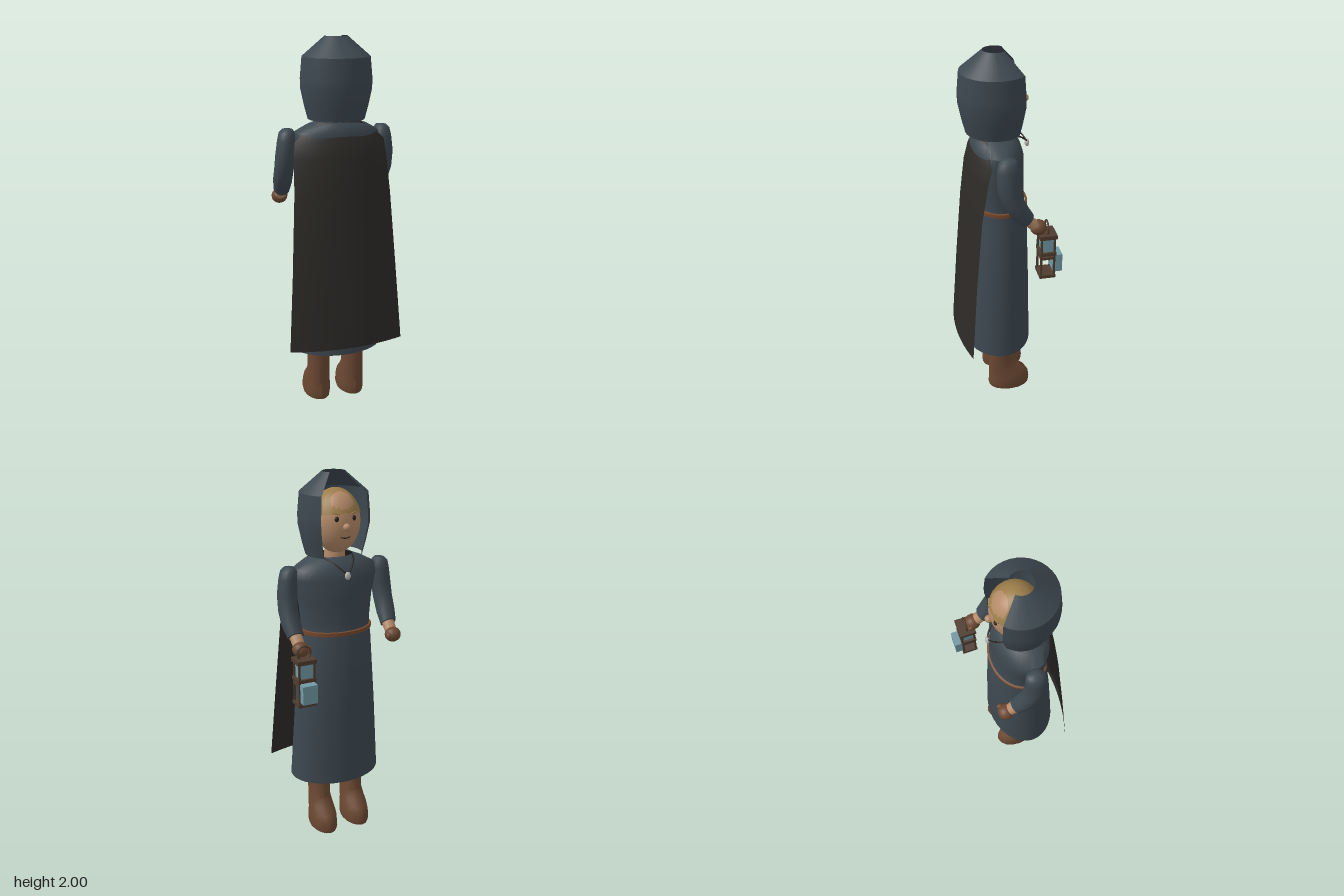
import * as THREE from 'three';
import { toCreasedNormals } from 'three/addons/utils/BufferGeometryUtils.js';

const mat = (color) => new THREE.MeshStandardMaterial({ color, side: THREE.DoubleSide });
const M = {
  robe: mat(0x3d4850), cape: mat(0x2d2a27), leather: mat(0x6b4832), skin: mat(0xb48a68),
  hair: mat(0x9c7d4a), belt: mat(0x75492c), metal: mat(0x4f3c2f), glass: mat(0x7099a6),
  dark: mat(0x2a2220), trousers: mat(0x333d47), stone: mat(0xb5b5b0),
};

function add(parent, name, geo, material, x = 0, y = 0, z = 0) {
  const mesh = new THREE.Mesh(geo, material);
  mesh.name = name;
  mesh.position.set(x, y, z);
  parent.add(mesh);
  return mesh;
}

// Skin a grid of points, given row by row from bottom to top
function skin(rows, crease = 0.9) {
  const n = rows[0].length, index = [];
  for (let i = 0; i < rows.length - 1; i++)
    for (let j = 0; j < n - 1; j++) {
      const a = i * n + j, b = a + 1, c = b + n, d = a + n;
      index.push(a, b, c, a, c, d);
    }
  const geo = new THREE.BufferGeometry().setFromPoints(rows.flat());
  geo.setIndex(index);
  return toCreasedNormals(geo, crease);
}

// Loft through elliptical rings [x, y, z, rx, rz, tilt about x]
function loft(rings, sides = 24, crease) {
  return skin(rings.map(([x, y, z, rx, rz, tilt = 0]) =>
    Array.from({ length: sides + 1 }, (_, j) => {
      const a = ((j % sides) / sides) * Math.PI * 2;
      const u = Math.cos(a) * rz;
      return new THREE.Vector3(x + Math.sin(a) * rx, y - Math.sin(tilt) * u, z + Math.cos(tilt) * u);
    })), crease);
}

function ellipsoid(parent, name, material, x, y, z, rx, ry, rz, seg = 20) {
  const mesh = add(parent, name, new THREE.SphereGeometry(1, seg, Math.ceil(seg * 0.7)), material, x, y, z);
  mesh.scale.set(rx, ry, rz);
  return mesh;
}

function buildHead(root) {
  const head = new THREE.Group();
  head.name = 'head';
  root.add(head);
  add(head, 'neck', new THREE.CylinderGeometry(0.05, 0.06, 0.14, 16), M.skin, 0, 1.57, 0.02);
  ellipsoid(head, 'face', M.skin, 0, 1.755, -0.005, 0.122, 0.16, 0.115, 28);
  const hair = add(head, 'hair',
    new THREE.SphereGeometry(1, 28, 14, 0, Math.PI * 2, 0, 1.38), M.hair, 0, 1.757, -0.004);
  hair.scale.set(0.128, 0.166, 0.121);
  hair.rotation.x = 0.2;
  ellipsoid(head, 'nose', M.skin, 0, 1.745, -0.125, 0.019, 0.019, 0.019, 12);
  for (const s of [-1, 1]) {
    ellipsoid(head, 'eye', M.dark, s * 0.046, 1.785, -0.107, 0.012, 0.014, 0.008, 12);
    const brow = add(head, 'eyebrow', new THREE.BoxGeometry(0.036, 0.006, 0.008), M.hair, s * 0.047, 1.811, -0.105);
    brow.rotation.set(0, s * -0.4, s * 0.15);
  }
  const smile = new THREE.QuadraticBezierCurve3(new THREE.Vector3(-0.026, 1.694, -0.108),
    new THREE.Vector3(0, 1.682, -0.112), new THREE.Vector3(0.026, 1.694, -0.108));
  add(head, 'mouth', new THREE.TubeGeometry(smile, 8, 0.003, 6), M.dark);

  // Hood: turned shell, open at the face and the crown
  const profile = [[0.148, 1.585], [0.165, 1.65], [0.184, 1.74], [0.185, 1.79], [0.175, 1.9], [0.059, 2]]
    .map(([r, y]) => new THREE.Vector2(r, y));
  add(head, 'hood', toCreasedNormals(
    new THREE.LatheGeometry(profile, 28, Math.PI + 0.77, Math.PI * 2 - 1.54), 0.6), M.robe, 0, 0, 0.03);
}

function buildClothes(root) {
  add(root, 'robe', loft([
    [0, 0.325, 0.027, 0.255, 0.188], [0, 0.75, 0.02, 0.228, 0.17], [0, 1.15, 0.011, 0.196, 0.147],
    [0, 1.19, 0.013, 0.189, 0.138], [0, 1.24, 0.015, 0.192, 0.134], [0, 1.36, 0.018, 0.205, 0.134],
    [0, 1.47, 0.022, 0.232, 0.134], [0, 1.52, 0.028, 0.228, 0.125], [0, 1.555, 0.035, 0.165, 0.108],
    [0, 1.578, 0.04, 0.105, 0.082],
  ], 36), M.robe);
  add(root, 'belt', loft([
    [0, 1.178, 0.012, 0.194, 0.144], [0, 1.18, 0.012, 0.2, 0.15],
    [0, 1.2, 0.012, 0.2, 0.15], [0, 1.202, 0.012, 0.19, 0.14],
  ], 36, 0.5), M.belt);

  // Cape rows: height, half width, depth at the middle, depth at the edges
  const capeRows = [
    [0.385, 0.315, 0.265, 0.213], [0.8, 0.287, 0.238, 0.183], [1.2, 0.262, 0.208, 0.145],
    [1.4, 0.25, 0.187, 0.11], [1.48, 0.242, 0.168, 0.09], [1.53, 0.185, 0.142, 0.088], [1.575, 0.11, 0.125, 0.085],
  ];
  add(root, 'cape', skin(capeRows.map(([y, w, mid, edge]) =>
    Array.from({ length: 17 }, (_, j) => {
      const t = j / 8 - 1;
      return new THREE.Vector3(t * w, y, mid + (edge - mid) * t * t);
    }))), M.cape);

  // Necklace cord and pendant
  const cord = new THREE.CatmullRomCurve3([
    [-0.085, 1.578, -0.01], [-0.055, 1.56, -0.09], [0, 1.515, -0.136],
    [0.055, 1.56, -0.09], [0.085, 1.578, -0.01],
  ].map((p) => new THREE.Vector3(...p)));
  add(root, 'necklaceCord', new THREE.TubeGeometry(cord, 28, 0.004, 6), M.dark);
  ellipsoid(root, 'pendant', M.stone, 0, 1.502, -0.139, 0.016, 0.021, 0.012, 12);
}

function buildArm(root, s) {
  const arm = new THREE.Group();
  arm.name = s > 0 ? 'leftArm' : 'rightArm';
  root.add(arm);
  add(arm, 'sleeve', loft([
    [s * 0.268, 1.2, -0.087, 0.03, 0.025, 0.8], [s * 0.268, 1.2, -0.087, 0.043, 0.04, 0.8],
    [s * 0.274, 1.255, -0.042, 0.05, 0.05, 0.65], [s * 0.275, 1.32, -0.005, 0.05, 0.055, 0.4],
    [s * 0.27, 1.4, 0.014, 0.052, 0.058, 0.15], [s * 0.264, 1.48, 0.015, 0.047, 0.056],
    [s * 0.26, 1.522, 0.013, 0.041, 0.049], [s * 0.257, 1.538, 0.012, 0.027, 0.034], [s * 0.256, 1.542, 0.012, 0, 0],
  ], 20), M.robe);
  add(arm, 'wrist', loft([
    [s * 0.266, 1.16, -0.125, 0.031, 0.028, 0.8], [s * 0.268, 1.215, -0.07, 0.035, 0.031, 0.8],
  ], 16), M.skin);
  ellipsoid(arm, 'glovedFist', M.leather, s * 0.266, 1.15, -0.143, 0.043, 0.04, 0.043, 16);
  ellipsoid(arm, 'thumb', M.leather, s * 0.23, 1.152, -0.162, 0.014, 0.018, 0.02, 10);
}

function buildLeg(root, s) {
  const x = s * 0.1;
  add(root, 'trouserLeg', new THREE.CylinderGeometry(0.07, 0.052, 0.6, 14), M.trousers, x, 0.58, 0.022);
  add(root, 'boot', loft([
    [x, 0, -0.03, 0, 0], [x, 0, -0.03, 0.07, 0.116], [x, 0.025, -0.03, 0.075, 0.121],
    [x, 0.07, -0.028, 0.073, 0.117], [x, 0.1, -0.02, 0.07, 0.108], [x, 0.135, 0.0, 0.066, 0.088],
    [x, 0.18, 0.017, 0.061, 0.071], [x, 0.31, 0.023, 0.062, 0.063], [x, 0.31, 0.023, 0.05, 0.05],
  ], 16, 0.6), M.leather);
}

function buildLantern(root) {
  const lantern = new THREE.Group();
  lantern.name = 'lantern';
  lantern.position.set(0.266, 0, -0.187);
  root.add(lantern);
  const box = (name, material, w, h, d, x, y, z) =>
    add(lantern, name, new THREE.BoxGeometry(w, h, d), material, x, y, z);
  // Plates: base, two middle bands, lid
  for (const [y, h, w, d] of [[0.874, 0.018, 0.1, 0.084], [0.982, 0.014, 0.092, 0.078],
    [1.008, 0.018, 0.1, 0.084], [1.108, 0.022, 0.104, 0.09]])
    box('plate', M.metal, w, h, d, 0, y, 0);
  for (const sx of [-1, 1])
    for (const sz of [-1, 1]) box('post', M.metal, 0.01, 0.23, 0.01, sx * 0.041, 0.99, sz * 0.034);
  box('upperGlass', M.glass, 0.074, 0.085, 0.058, 0, 1.058, 0);
  box('lowerGlass', M.glass, 0.08, 0.1, 0.048, 0, 0.945, -0.054);
  add(lantern, 'handle', new THREE.TorusGeometry(0.036, 0.005, 8, 24), M.metal, 0, 1.146, 0);
}

export function createModel() {
  const root = new THREE.Group();
  root.name = 'hoodedTraveller';
  buildHead(root);
  buildClothes(root);
  for (const s of [-1, 1]) {
    buildArm(root, s);
    buildLeg(root, s);
  }
  buildLantern(root);
  return root;
}
